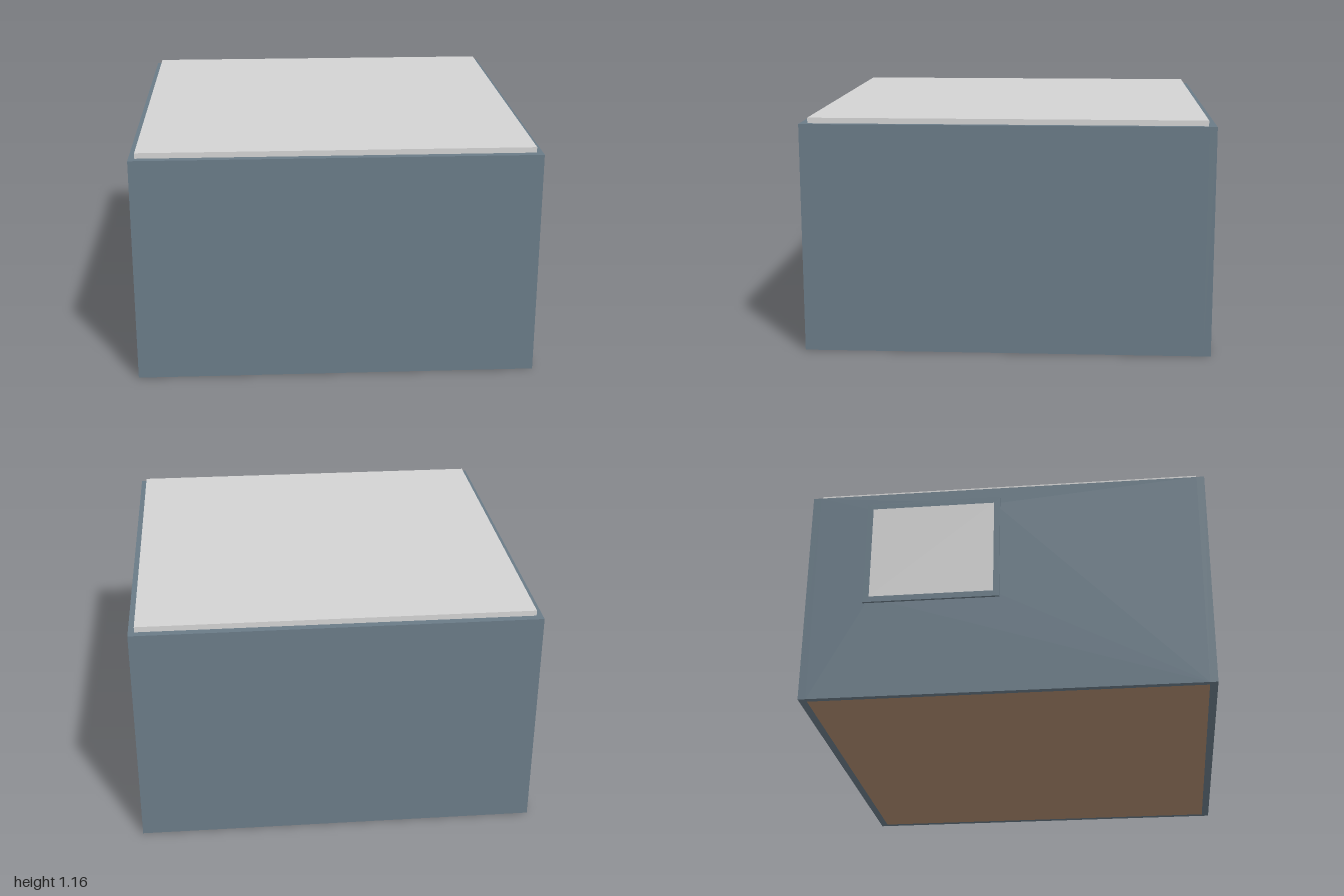
import * as THREE from 'three';

const mat = (name, color) => new THREE.MeshStandardMaterial({ name, color });

export function createModel() {
  const wallPaint = mat('slate wall', 0x6a7b87);
  const pale = mat('pale grey', 0xd3d3d3);
  const wood = mat('brown floor', 0xac8a6e);

  const room = new THREE.Group();
  room.name = 'room';

  // Box given by its minimum and maximum corners
  const box = (name, material, [x0, y0, z0], [x1, y1, z1]) => {
    const mesh = new THREE.Mesh(new THREE.BoxGeometry(x1 - x0, y1 - y0, z1 - z0), material);
    mesh.position.set((x0 + x1) / 2, (y0 + y1) / 2, (z0 + z1) / 2);
    mesh.name = name;
    room.add(mesh);
  };

  // Upright panel in the z-y plane with a rectangular opening, from x0 to x1
  const panel = (name, x0, x1, outer, hole) => {
    const rect = (path, [z0, y0, z1, y1]) =>
      path.moveTo(-z0, y0).lineTo(-z1, y0).lineTo(-z1, y1).lineTo(-z0, y1).closePath();
    const shape = new THREE.Shape();
    rect(shape, outer);
    const opening = new THREE.Path();
    rect(opening, hole);
    shape.holes.push(opening);
    const geo = new THREE.ExtrudeGeometry(shape, { depth: x1 - x0, bevelEnabled: false });
    geo.rotateY(Math.PI / 2).translate(x0, 0, 0);
    const mesh = new THREE.Mesh(geo, wallPaint);
    mesh.name = name;
    room.add(mesh);
  };

  const left = 0.993, right = -0.983, top = 1.13;
  const tx = 0.03, tz = 0.038; // wall thicknesses
  const inL = left - tx, inR = right + tx, inZ = 1 - tz;
  const opening = [-0.68, 0.535, -0.06, 1.04];

  // Walls
  box('frontWall', wallPaint, [right, 0, inZ], [left, top, 1]);
  box('backWall', wallPaint, [right, 0, -1], [left, top, -inZ]);
  box('leftWall', wallPaint, [inL, 0, -inZ], [left, top, inZ]);
  panel('rightWall', right, inR, [-inZ, 0, inZ, top], opening);

  // Floor and raised ceiling slab
  box('floor', wood, [inR, 0, -inZ], [inL, 0.03, inZ]);
  box('ceiling', pale, [inR, 1.1, -inZ], [inL, 1.157, inZ]);

  // Window
  panel('windowFrame', -0.995, right, [-0.71, 0.505, -0.03, 1.07], opening);
  box('windowPane', pale, [-0.992, 0.535, -0.68], [-0.984, 1.04, -0.06]);

  return room;
}
